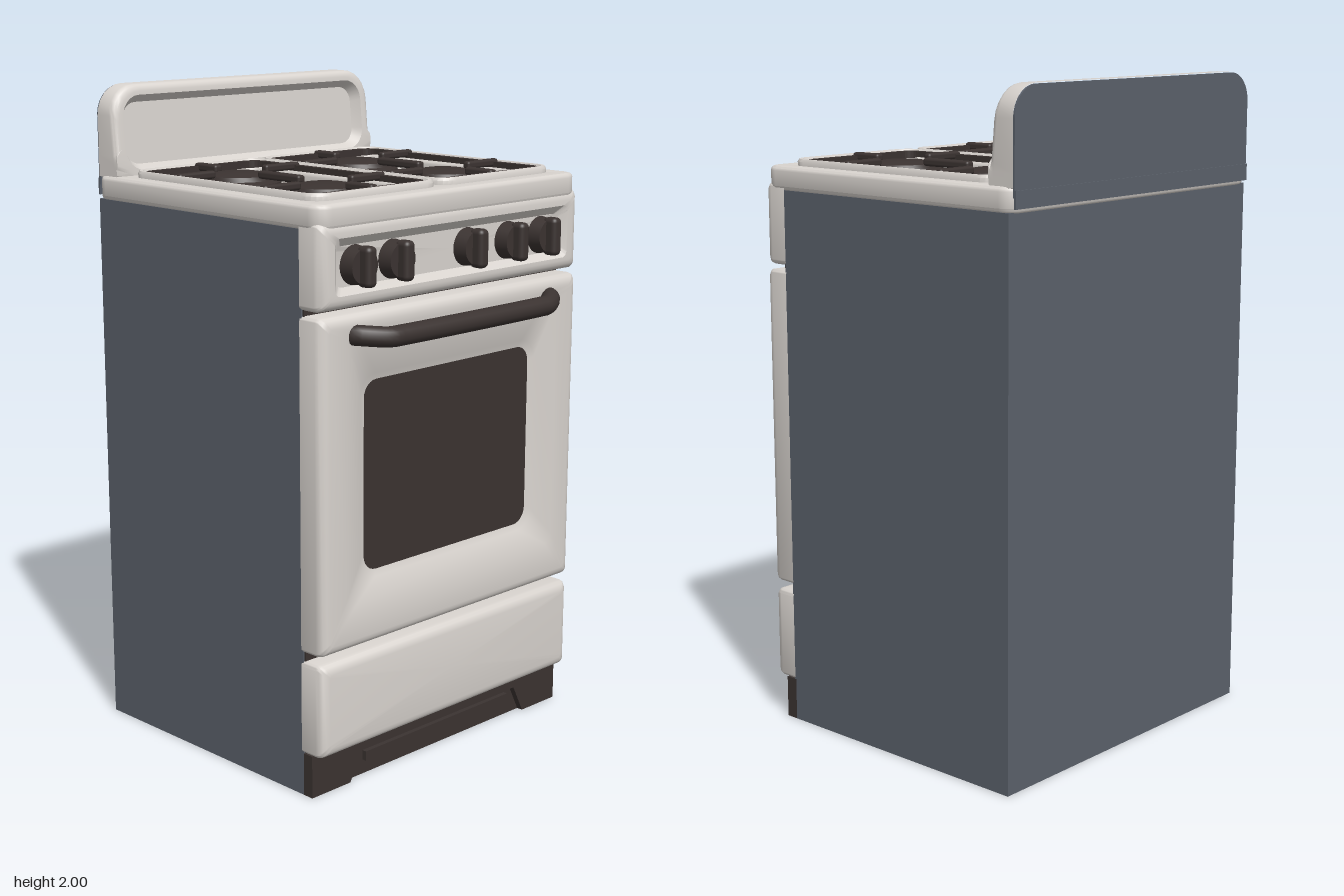
import * as THREE from 'three';
import { toCreasedNormals } from 'three/addons/utils/BufferGeometryUtils.js';
import { RoundedBoxGeometry } from 'three/addons/geometries/RoundedBoxGeometry.js';

const material = (name, color) => {
  const m = new THREE.MeshStandardMaterial({ color });
  m.name = name;
  return m;
};

// Points round a rounded rectangle, counter-clockwise seen from +z
function ringPoints([x0, x1, y0, y1, r, z]) {
  const corners = [[x1 - r, y0 + r], [x1 - r, y1 - r], [x0 + r, y1 - r], [x0 + r, y0 + r]];
  const points = [];
  corners.forEach(([cx, cy], c) => {
    for (let i = 0; i <= 6; i++) {
      const a = (c - 1 + i / 6) * Math.PI / 2;
      points.push([cx + r * Math.cos(a), cy + r * Math.sin(a), z]);
    }
  });
  return points;
}

// Skin through rounded-rectangle rings, closed in the middle of the last one
function loft(rings) {
  const pos = [], loops = rings.map(ringPoints), n = loops[0].length;
  for (let k = 0; k < loops.length - 1; k++) {
    const a = loops[k], b = loops[k + 1];
    for (let i = 0; i < n; i++) {
      const j = (i + 1) % n;
      pos.push(...a[i], ...a[j], ...b[j], ...a[i], ...b[j], ...b[i]);
    }
  }
  const [x0, x1, y0, y1, , z] = rings[rings.length - 1], last = loops[loops.length - 1];
  for (let i = 0; i < n; i++) pos.push(...last[i], ...last[(i + 1) % n], (x0 + x1) / 2, (y0 + y1) / 2, z);
  const g = new THREE.BufferGeometry();
  g.setAttribute('position', new THREE.Float32BufferAttribute(pos, 3));
  return toCreasedNormals(g, 0.6);
}

// Rings of a slab whose front edge is rounded by b
function slab(x0, x1, y0, y1, r, z0, z1, b) {
  const rings = [[x0, x1, y0, y1, r, z0]];
  for (let i = 0; i <= 4; i++) {
    const a = i / 4 * Math.PI / 2, s = b * (1 - Math.cos(a));
    rings.push([x0 + s, x1 - s, y0 + s, y1 - s, r, z1 - b + b * Math.sin(a)]);
  }
  return rings;
}

function roundRect(x0, x1, y0, y1, r, Type = THREE.Shape) {
  return new Type(ringPoints([x0, x1, y0, y1, r, 0]).map(([x, y]) => new THREE.Vector2(x, y)));
}

export function createModel() {
  const enamel = material('white enamel', 0xd9d4cf);
  const steel = material('slate steel', 0x5b616b);
  const black = material('dark iron', 0x3b3331);
  const model = new THREE.Group();
  model.name = 'gasCooker';

  const add = (name, geometry, mat, x = 0, y = 0, z = 0, parent = model) => {
    const mesh = new THREE.Mesh(geometry, mat);
    mesh.name = name;
    mesh.position.set(x, y, z);
    parent.add(mesh);
    return mesh;
  };
  const box = (w, h, d) => new THREE.BoxGeometry(w, h, d);

  // Cabinet and the dark front seen in the gaps
  add('cabinet', box(1.09, 1.66, 0.89), steel, 0, 0.83, -0.08);
  add('frontFrame', box(1.08, 1.56, 0.006), black, 0, 0.87, 0.368);

  // Plinth with a notch between the feet and a grip rail
  const plinth = new THREE.Shape([[-0.545, 0], [-0.39, 0], [-0.345, 0.09], [0.345, 0.09], [0.39, 0],
    [0.545, 0], [0.545, 0.13], [-0.545, 0.13]].map(p => new THREE.Vector2(...p)));
  add('plinth', new THREE.ExtrudeGeometry(plinth, { depth: 0.04, bevelEnabled: false }), black, 0, 0, 0.36);
  add('plinthBack', box(0.8, 0.1, 0.02), black, 0, 0.05, 0.37);
  add('plinthRail', box(0.64, 0.03, 0.02), black, 0, 0.06, 0.385);

  // Drawer, oven door and control panel
  add('drawer', loft(slab(-0.548, 0.548, 0.13, 0.415, 0.015, 0.36, 0.448, 0.03)), enamel);
  add('ovenDoor', loft([
    ...slab(-0.548, 0.548, 0.44, 1.42, 0.015, 0.36, 0.45, 0.03),
    [-0.45, 0.45, 0.57, 1.375, 0.03, 0.45],
    [-0.375, 0.375, 0.63, 1.235, 0.06, 0.425],
    [-0.355, 0.355, 0.65, 1.215, 0.05, 0.415],
  ]), enamel);
  add('ovenWindow', loft([[-0.355, 0.355, 0.65, 1.215, 0.05, 0.418]]), black);
  add('controlPanel', loft([
    ...slab(-0.548, 0.548, 1.435, 1.68, 0.015, 0.36, 0.447, 0.03),
    [-0.495, 0.495, 1.475, 1.635, 0.02, 0.447],
    [-0.47, 0.47, 1.495, 1.61, 0.02, 0.425],
  ]), enamel);

  // Knobs
  const knobDisc = new THREE.CylinderGeometry(0.05, 0.057, 0.045, 28).rotateX(Math.PI / 2);
  const knobGrip = new RoundedBoxGeometry(0.04, 0.115, 0.05, 3, 0.015);
  for (const x of [-0.4, -0.25, 0.06, 0.24, 0.39]) {
    const knob = new THREE.Group();
    knob.name = 'knob';
    knob.position.set(x, 1.553, 0);
    add('knobDisc', knobDisc, black, 0, 0, 0.445, knob);
    add('knobGrip', knobGrip, black, 0, 0, 0.475, knob);
    model.add(knob);
  }

  // Door handle
  const handlePath = new THREE.CatmullRomCurve3([
    [-0.425, 1.36, 0.42], [-0.41, 1.36, 0.455], [-0.34, 1.353, 0.503], [-0.3, 1.353, 0.508],
    [0.3, 1.353, 0.508], [0.34, 1.353, 0.503], [0.41, 1.36, 0.455], [0.425, 1.36, 0.42],
  ].map(p => new THREE.Vector3(...p)), false, 'centripetal');
  add('doorHandle', new THREE.TubeGeometry(handlePath, 60, 0.03, 14), black);

  // Cooktop slab with two openings
  const top = roundRect(-0.535, 0.535, -0.43, 0.525, 0.035);
  for (const s of [-1, 1]) {
    const [a, b] = [s * 0.03, s * 0.475].sort((p, q) => p - q);
    top.holes.push(roundRect(a, b, -0.355, 0.4, 0.04, THREE.Path));
  }
  const topGeometry = new THREE.ExtrudeGeometry(top, {
    depth: 0.045, bevelThickness: 0.014, bevelSize: 0.014, bevelSegments: 3,
  }).rotateX(-Math.PI / 2);
  add('cooktop', toCreasedNormals(topGeometry, 0.7), enamel, 0, 1.671, 0);
  add('cooktopBack', box(1.07, 0.05, 0.006), steel, 0, 1.695, -0.539);

  // Raised-lip wells, burners and pan supports
  const capProfile = [[0.125, 1.67], [0.129, 1.7], [0.126, 1.715], [0.108, 1.722], [0.1, 1.735], [0.06, 1.742], [0, 1.744]];
  const burnerCap = toCreasedNormals(
    new THREE.LatheGeometry(capProfile.map(p => new THREE.Vector2(...p)), 36).toNonIndexed(), 0.6);
  const frame = roundRect(-0.234, 0.234, -0.38, 0.38, 0.05);
  frame.holes.push(roundRect(-0.216, 0.216, -0.362, 0.362, 0.035, THREE.Path));
  const frameGeometry = new THREE.ExtrudeGeometry(frame, { depth: 0.022, bevelEnabled: false }).rotateX(-Math.PI / 2);
  for (const s of [-1, 1]) {
    const hob = new THREE.Group();
    hob.name = s > 0 ? 'leftHob' : 'rightHob';
    hob.position.x = s * 0.253;
    model.add(hob);
    add('well', loft([
      [-0.25, 0.25, -0.383, 0.428, 0.06, 1.725],
      [-0.25, 0.25, -0.383, 0.428, 0.06, 1.742],
      [-0.245, 0.245, -0.378, 0.423, 0.055, 1.75],
      [-0.238, 0.238, -0.368, 0.413, 0.05, 1.75],
      [-0.232, 0.232, -0.362, 0.407, 0.05, 1.74],
      [-0.215, 0.215, -0.345, 0.39, 0.045, 1.695],
      [-0.13, 0.13, -0.25, 0.3, 0.04, 1.68],
    ]).rotateX(-Math.PI / 2), enamel, 0, 0, 0, hob);
    add('supportFrame', frameGeometry, black, 0, 1.724, -0.026, hob);
    for (const z of [-0.217, 0.154]) {
      add('burnerCap', burnerCap, black, 0, 0, z, hob);
      for (const side of [-1, 1])
        add('supportBar', new RoundedBoxGeometry(0.14, 0.024, 0.025, 2, 0.008), black, side * 0.17, 1.743, z, hob);
    }
    for (const [z0, z1] of [[-0.41, -0.31], [-0.12, 0.06], [0.25, 0.358]])
      add('supportBar', new RoundedBoxGeometry(0.029, 0.024, z1 - z0, 2, 0.008), black, 0, 1.743, (z0 + z1) / 2, hob);
  }

  // Backsplash: rounded rim, recessed panel, front leaning back
  const splash = loft([
    ...slab(-0.537, 0.537, 1.7, 2, 0.09, -0.533, -0.465, 0.02),
    [-0.5, 0.5, 1.745, 1.968, 0.065, -0.465],
    [-0.48, 0.48, 1.76, 1.945, 0.05, -0.495],
  ]);
  const p = splash.attributes.position;
  for (let i = 0; i < p.count; i++) {
    // square the lower corners and push the foot forward
    if (p.getY(i) < 1.79 && Math.abs(p.getX(i)) > 0.5) p.setX(i, Math.sign(p.getX(i)) * 0.537);
    if (p.getZ(i) > -0.53) p.setZ(i, p.getZ(i) + (2 - p.getY(i)) * 0.09);
  }
  add('backsplash', toCreasedNormals(splash, 0.6), enamel);
  const back = new THREE.Shape();
  back.moveTo(-0.535, 1.7).lineTo(0.535, 1.7).lineTo(0.535, 1.91);
  back.absarc(0.447, 1.91, 0.088, 0, Math.PI / 2).absarc(-0.447, 1.91, 0.088, Math.PI / 2, Math.PI);
  add('backsplashBack', new THREE.ExtrudeGeometry(back, { depth: 0.006, bevelEnabled: false }), steel, 0, 0, -0.538);

  return model;
}
